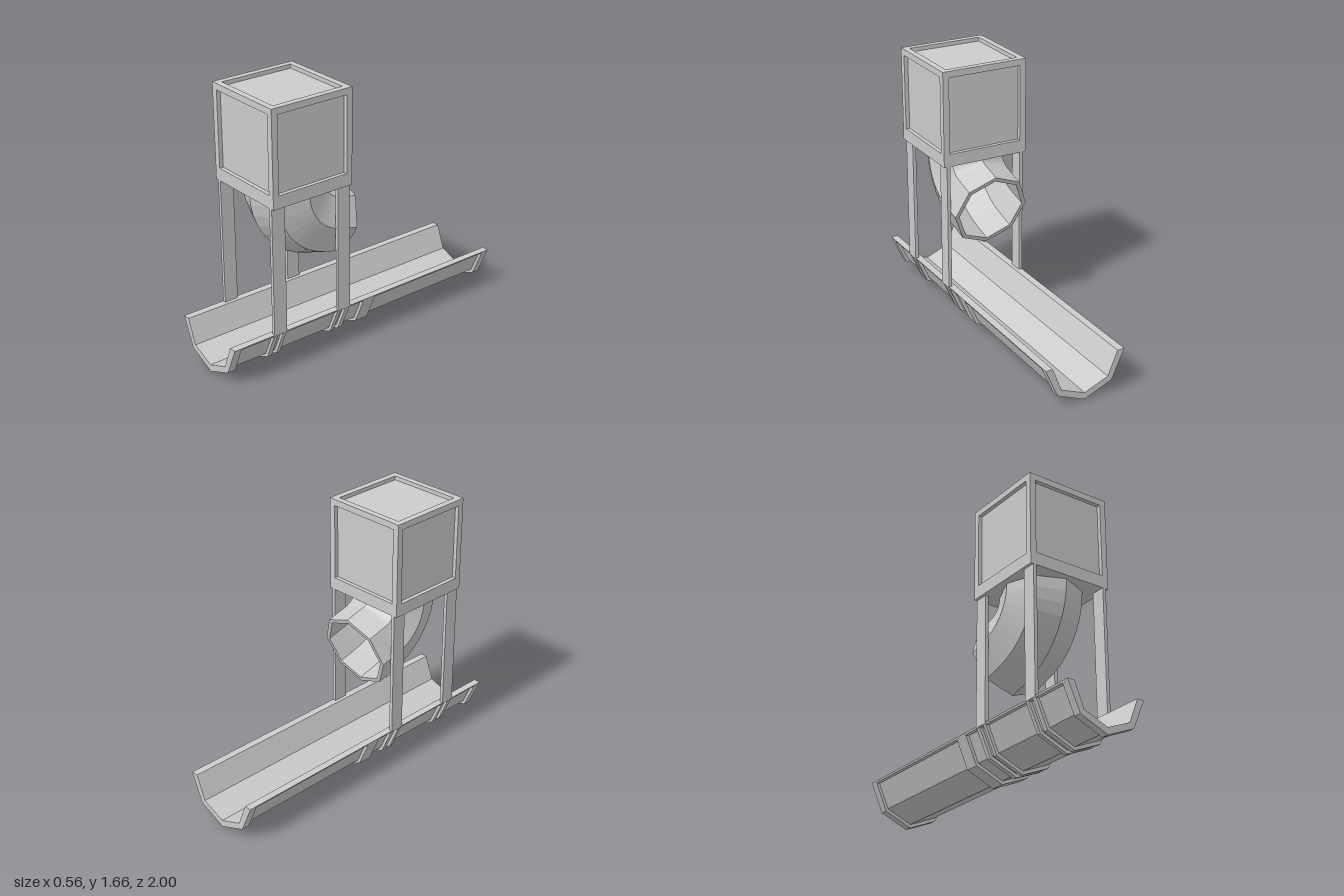
import * as THREE from 'three';

export function createModel() {
  const model = new THREE.Group();
  const material = new THREE.MeshStandardMaterial({ color: 0xcccccc, flatShading: true });

  function add(name, geometry, parent = model) {
    const mesh = new THREE.Mesh(geometry, material);
    mesh.name = name;
    parent.add(mesh);
    return mesh;
  }
  function box(name, w, h, d, x, y, z, parent) {
    add(name, new THREE.BoxGeometry(w, h, d), parent).position.set(x, y, z);
  }
  function group(name) {
    const g = new THREE.Group();
    g.name = name;
    model.add(g);
    return g;
  }

  // Trough: mirrored half profile (outer rim to keel) extruded along z
  const inner = [[0, 0.047], [0.155, 0.11], [0.216, 0.263]];
  function channel(name, outer, z0, z1, parent) {
    const half = [...inner, ...outer];
    const mirrored = half.slice(1, -1).reverse().map(([x, y]) => [-x, y]);
    const pts = [...half, ...mirrored].map(([x, y]) => new THREE.Vector2(x, y));
    // the inner keel and outer keel close the two halves into one strip
    const geometry = new THREE.ExtrudeGeometry(new THREE.Shape(pts), { depth: z1 - z0, bevelEnabled: false });
    add(name, geometry, parent).position.z = z0;
  }
  const trough = group('trough');
  const ribOuter = [[0.262, 0.263], [0.182, 0.08], [0, 0.003]];
  const bodyOuter = [[0.262, 0.263], [0.257, 0.251], [0.236, 0.251], [0.168, 0.097], [0, 0.025]];
  channel('troughBody', bodyOuter, -0.998, 0.998, trough);
  const ribs = [[0.95, 1], [0.69, 0.72], [0.63, 0.655], [0.225, 0.25], [0.16, 0.19], [-0.042, 0.05], [-1, -0.95]];
  for (const [z0, z1] of ribs) channel('troughRib', ribOuter, z0, z1, trough);

  // Hopper: recessed panels inside a frame of bars
  const cz = 0.44, bottom = 1.066, top = 1.664, bar = 0.04, off = 0.26;
  const hopper = group('hopper');
  box('hopperPanels', 0.51, top - 0.025 - bottom, 0.51, 0, (top - 0.025 + bottom) / 2, cz, hopper);
  for (const s of [-1, 1]) {
    for (const t of [-1, 1]) box('cornerPost', bar, top - bottom, bar, s * off, (top + bottom) / 2, cz + t * off, hopper);
    for (const [y, h] of [[bottom + 0.04, 0.08], [top - 0.02, bar]]) {
      box('sideBar', bar, h, 0.48, s * off, y, cz, hopper);
      box('crossBar', 0.48, h, bar, 0, y, cz + s * off, hopper);
    }
  }

  // Legs
  for (const x of [-0.251, 0.251]) {
    for (const z of [0.675, 0.205]) box('leg', 0.022, bottom - 0.255, 0.09, x, (bottom + 0.255) / 2, z);
  }

  // Chute: octagonal pipe bending 75 degrees, then a straight outlet
  const R = 0.281, straight = 0.145, bend = THREE.MathUtils.degToRad(75), steps = 9, sides = 8;
  const path = [];
  for (let i = 0; i <= steps; i++) path.push([bend * i / steps, 0]);
  path.push([bend, straight]);
  const rings = [
    ...path.map(p => [...p, 0.245]),
    ...path.slice().reverse().map(p => [...p, 0.218]),
  ];
  const positions = [], index = [];
  rings.forEach(([t, len, r], i) => {
    for (let j = 0; j < sides; j++) {
      const a = j / sides * Math.PI * 2;
      const q = R + r * Math.cos(a);
      positions.push(
        r * Math.sin(a),
        bottom - q * Math.sin(t) - len * Math.cos(t),
        cz - R + q * Math.cos(t) - len * Math.sin(t));
      if (i === rings.length - 1) continue;
      const k = (j + 1) % sides, n = i * sides;
      index.push(n + j, n + sides + j, n + k, n + k, n + sides + j, n + sides + k);
    }
  });
  const chute = new THREE.BufferGeometry();
  chute.setAttribute('position', new THREE.Float32BufferAttribute(positions, 3));
  chute.setIndex(index);
  chute.computeVertexNormals();
  add('chute', chute);

  return model;
}
